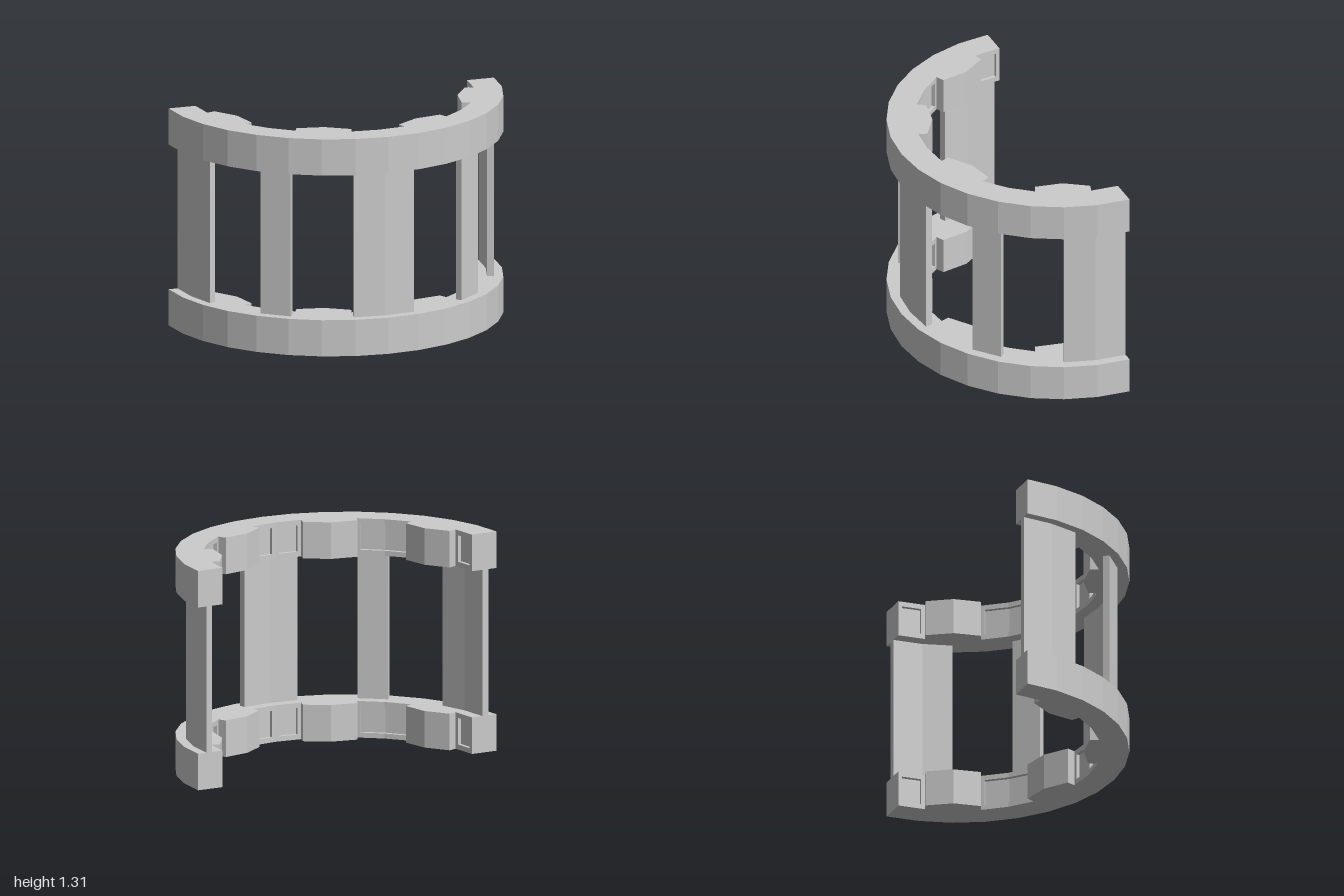
import * as THREE from 'three';

const STEP = 11.25; // facet angle in degrees
const CENTER_Z = -0.5; // the half ring is swung around this point
const BAND_H = 0.218, TOP_Y = 1.09;
const INNER = 0.835, RECESS = 0.857, RIM = 0.03;

const material = new THREE.MeshStandardMaterial({ color: 0xcccccc, flatShading: true });

// Angle is measured from the front towards +x
function polar(r, deg) {
  const a = THREE.MathUtils.degToRad(deg);
  return [r * Math.sin(a), CENTER_Z + r * Math.cos(a)];
}

// Point on the flat facets of a 32-sided ring
function onFacet(r, deg) {
  const mid = (Math.floor(deg / STEP) + 0.5) * STEP;
  const rad = THREE.MathUtils.degToRad;
  return polar(r * Math.cos(rad(STEP / 2)) / Math.cos(rad(deg - mid)), deg);
}

function arc(r, from, to) {
  const pts = [];
  for (let a = from; a <= to + 0.01; a += STEP) pts.push(polar(r, a));
  return pts;
}

const mirror = (pts) => pts.map(([x, z]) => [-x, z]).reverse();

// Upright prism over a plan outline of [x, z] points
function prism(name, pts, y, h) {
  const shape = new THREE.Shape(pts.map(([x, z]) => new THREE.Vector2(x, -z)));
  const geo = new THREE.ExtrudeGeometry(shape, { depth: h, bevelEnabled: false });
  geo.rotateX(-Math.PI / 2);
  geo.translate(0, y, 0);
  const mesh = new THREE.Mesh(geo, material);
  mesh.name = name;
  return mesh;
}

// Recess cut into the inner wall, bending at any ring vertex it passes
function pocket(from, to, bend) {
  const pts = [onFacet(INNER, from), onFacet(RECESS, from)];
  if (bend !== undefined) pts.push(polar(RECESS, bend));
  pts.push(onFacet(RECESS, to), onFacet(INNER, to));
  return pts;
}

// Tooth projecting inward, centred on an angle
function tooth(mid) {
  return [
    polar(INNER, mid - STEP), polar(0.783, mid - 11.8), polar(0.733, mid),
    polar(0.783, mid + 11.8), polar(INNER, mid + STEP),
  ];
}

function bandOutline(recessed) {
  const half = [
    ...(recessed ? pocket(1.6, 9.6) : []),
    ...tooth(22.5),
    ...(recessed ? pocket(35.2, 54.8, 45) : [polar(INNER, 45)]),
    ...tooth(67.5),
    ...(recessed ? pocket(80.4, 88.4) : []),
    polar(INNER, 90),
  ];
  const inner = [...mirror(half), polar(INNER, 0), ...half];
  return [...arc(1, -90, 90), ...inner.reverse()];
}

// Half-ring band: plain rims above and below a layer with recessed panels
function band(name, y) {
  const group = new THREE.Group();
  group.name = name;
  group.add(
    prism('lowerRim', bandOutline(false), y, RIM),
    prism('panelLayer', bandOutline(true), y + RIM, BAND_H - 2 * RIM),
    prism('upperRim', bandOutline(false), y + BAND_H - RIM, RIM),
  );
  return group;
}

export function createModel() {
  const model = new THREE.Group();
  model.name = 'halfRingFrame';
  model.add(band('lowerBand', 0), band('upperBand', TOP_Y));

  // Curved upright plates between the bands
  const plate = (from, to) => [...arc(0.945, from, to), ...arc(0.905, from, to).reverse()];
  const addPlate = (name, pts) => model.add(prism(name, pts, BAND_H, TOP_Y - BAND_H));
  addPlate('frontPlate', plate(-STEP, STEP));
  for (const [name, from, to] of [['SidePlate', 33.75, 45], ['EndPlate', 67.5, 90]]) {
    const pts = plate(from, to);
    addPlate('left' + name, pts);
    addPlate('right' + name, mirror(pts));
  }
  return model;
}
